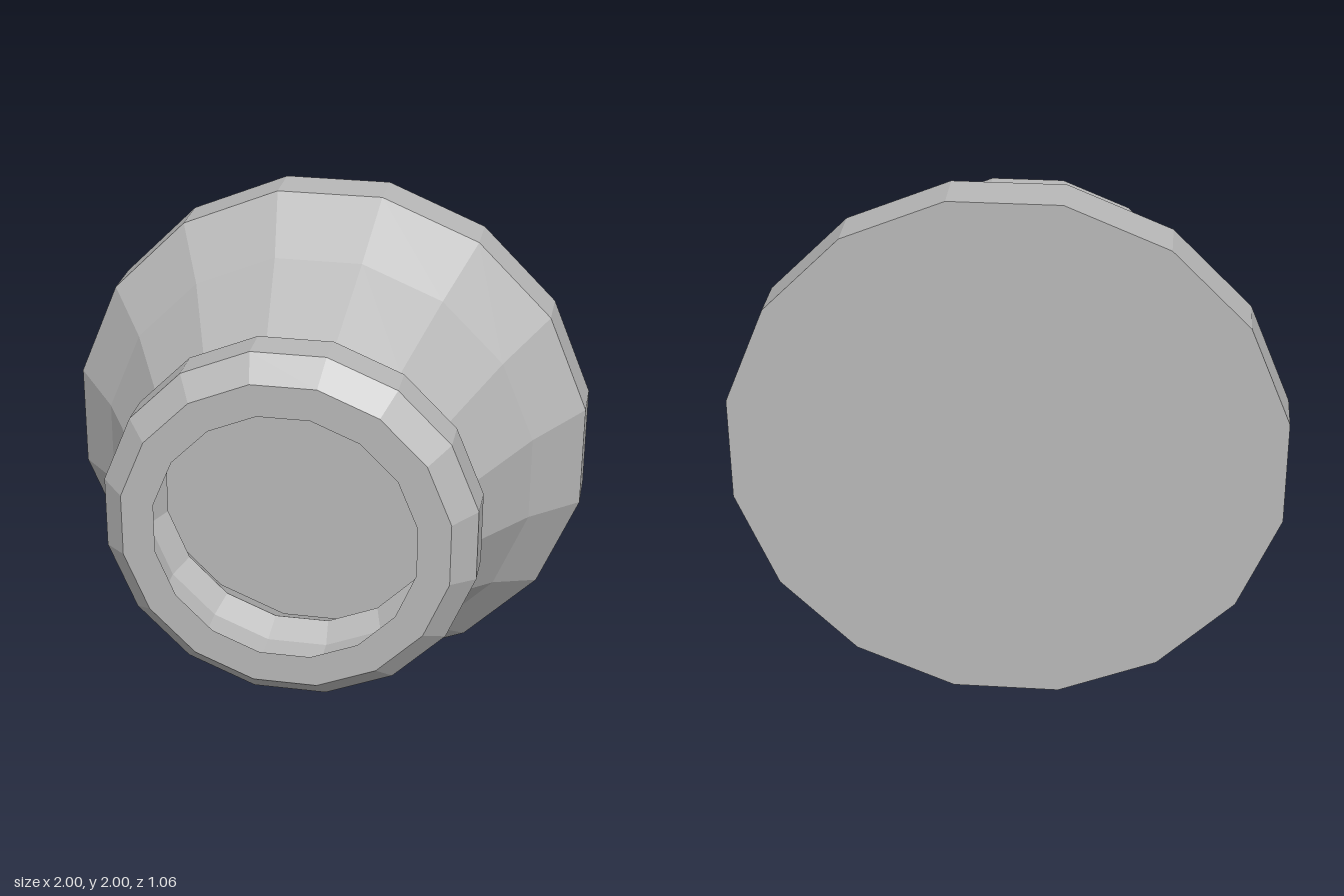
import * as THREE from 'three';

const SIDES = 16;
const START = Math.PI / SIDES; // flats point up, down and to the sides
const toCorner = 1 / Math.cos(START); // flat distance -> corner radius

export function createModel() {
  const group = new THREE.Group();
  group.name = 'flaredKnob';
  const grey = new THREE.MeshStandardMaterial({ color: 0xb8b8b8, flatShading: true });
  grey.name = 'plain grey';

  // Adds a part whose axis turns from y to z, with its centre at mid height
  const add = (name, geometry, z = 0) => {
    geometry.rotateX(Math.PI / 2);
    geometry.translate(0, 1, z);
    const mesh = new THREE.Mesh(geometry, grey);
    mesh.name = name;
    group.add(mesh);
  };

  // Solid back plate, which is also the floor of the hollow
  add('backPlate', new THREE.CylinderGeometry(toCorner, toCorner, 0.18, SIDES, 1, false, START), -0.44);

  // Hollow flared body with a bulged collar: outside forward, then inside back
  const profile = [
    [1, -0.35], [0.82, -0.12], [0.635, 0.205], [0.685, 0.3], [0.685, 0.44], [0.6, 0.53],
    [0.48, 0.53], [0.565, 0.44], [0.565, 0.3], [0.515, 0.205], [0.7, -0.12], [0.88, -0.35],
  ].map(([r, z]) => new THREE.Vector2(r * toCorner, z));
  add('flaredCollar', new THREE.LatheGeometry(profile, SIDES, START));

  return group;
}
